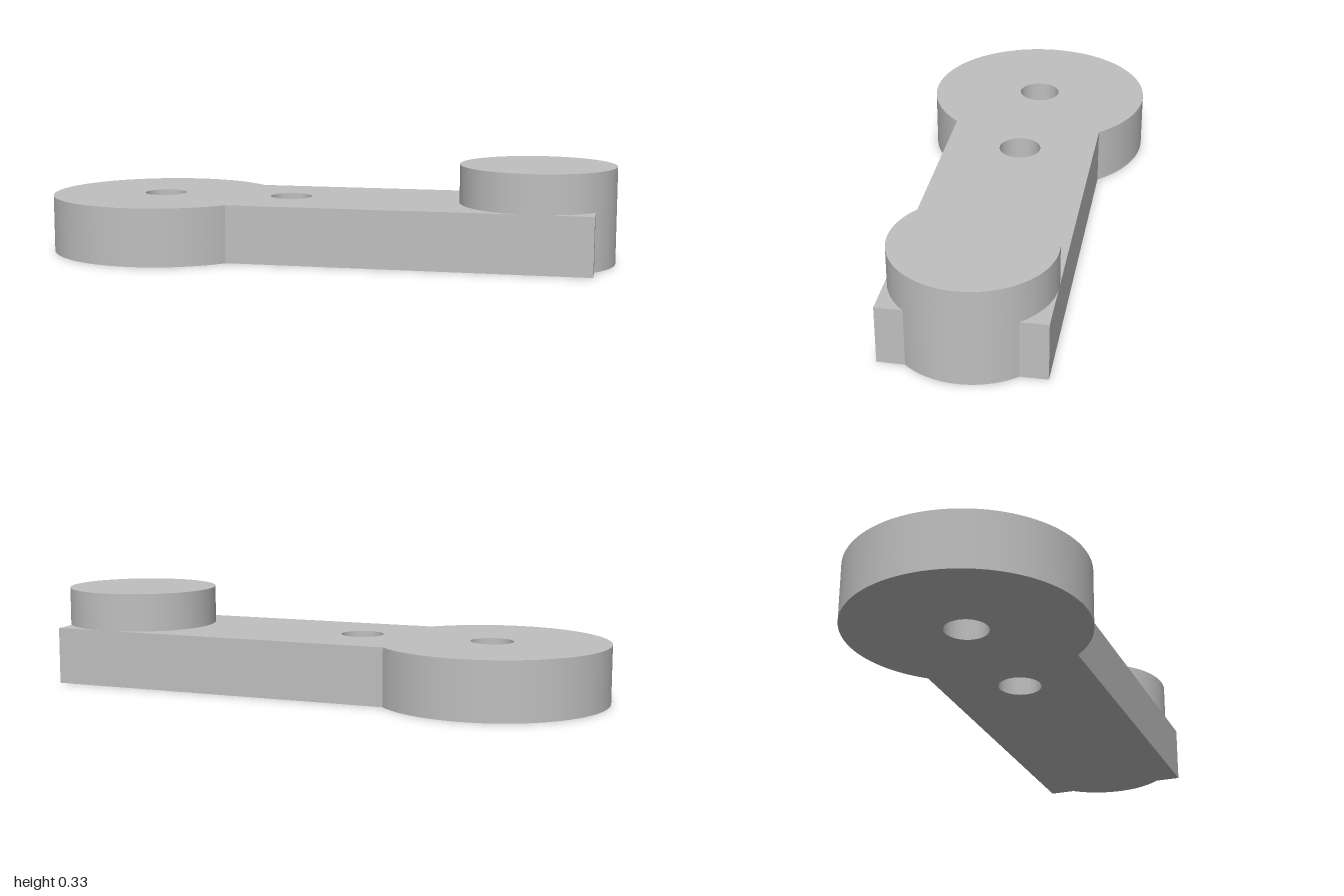
import * as THREE from 'three';
import { toCreasedNormals } from 'three/addons/utils/BufferGeometryUtils.js';

const U = 1 / 15;                 // design unit
const THICK = 3 * U, TOP = 5 * U; // plate and boss heights
const DISC = { x: -9 * U, r: 6 * U };
const BOSS = { x: 11 * U, r: 4 * U };
const HALF = 4 * U, END = 14 * U; // arm half width and end
const HOLE_R = 1.1 * U;

// Extrude a plan outline upward from height y
function slab(name, shape, y, height, material) {
  const geo = new THREE.ExtrudeGeometry(shape, { depth: height, bevelEnabled: false, curveSegments: 72 });
  geo.rotateX(-Math.PI / 2);
  geo.translate(0, y, 0);
  const mesh = new THREE.Mesh(toCreasedNormals(geo, Math.PI / 6), material);
  mesh.name = name;
  return mesh;
}

export function createModel() {
  const group = new THREE.Group();
  group.name = 'crankArm';
  const metal = new THREE.MeshStandardMaterial({ color: 0xbfbfbf });
  metal.name = 'grey metal';

  // Arm: round hub, straight bar, and boss bulging through the square end
  const a = Math.asin(HALF / DISC.r);
  const b = Math.acos((END - BOSS.x) / BOSS.r);
  const plan = new THREE.Shape();
  plan.absarc(DISC.x, 0, DISC.r, a, 2 * Math.PI - a, false);
  plan.lineTo(END, -HALF);
  plan.absarc(BOSS.x, 0, BOSS.r, -b, b, false);
  plan.lineTo(END, HALF);
  plan.closePath();

  // Two through holes
  for (const x of [DISC.x, -2 * U]) {
    const hole = new THREE.Path();
    hole.absarc(x, 0, HOLE_R, 0, 2 * Math.PI, true);
    plan.holes.push(hole);
  }
  group.add(slab('arm', plan, 0, THICK, metal));

  // Raised round boss
  const circle = new THREE.Shape();
  circle.absarc(BOSS.x, 0, BOSS.r, -b, 2 * Math.PI - b, false);
  group.add(slab('boss', circle, THICK, TOP - THICK, metal));

  return group;
}
